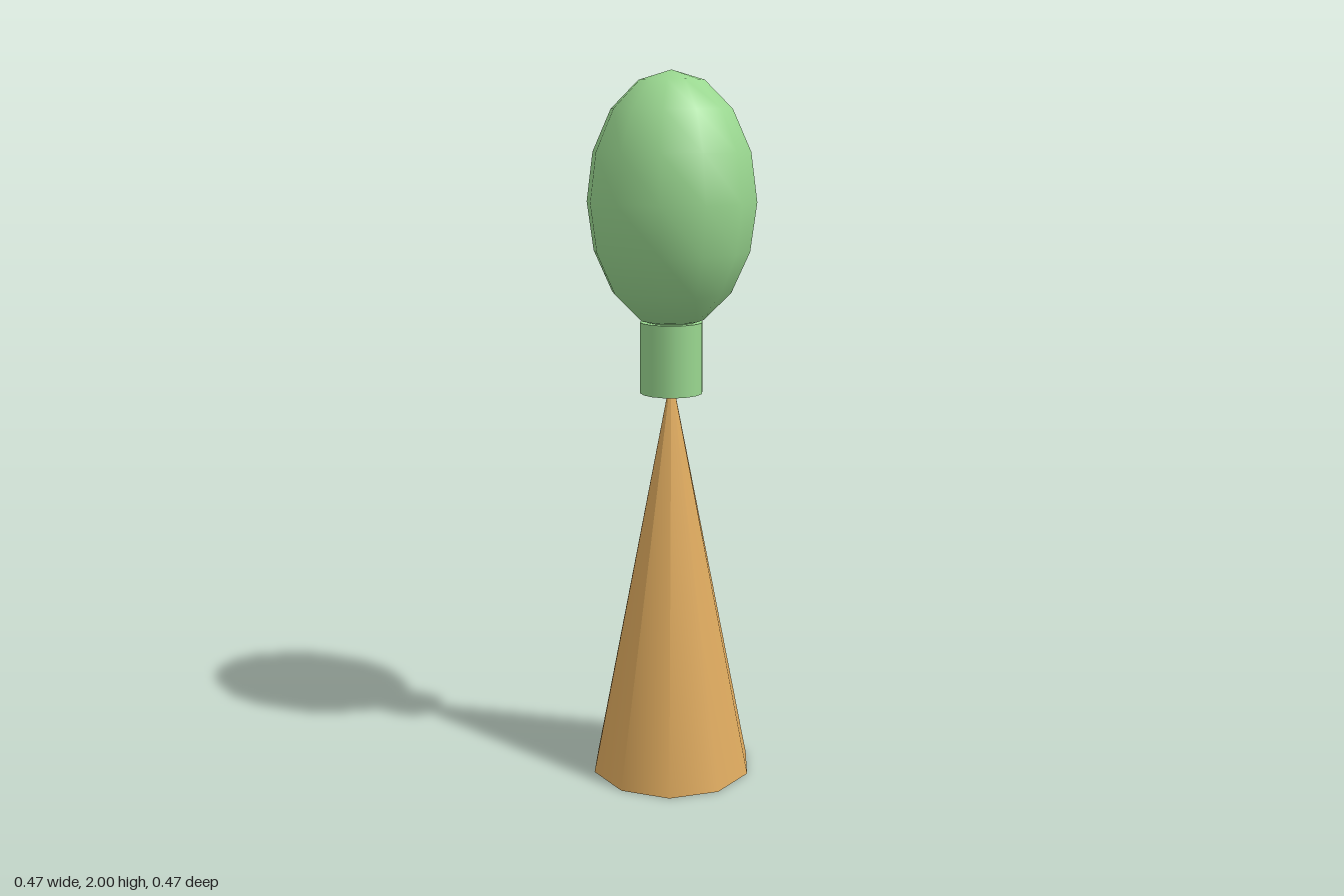
import * as THREE from 'three';

export function createModel() {
  const group = new THREE.Group();
  const green = new THREE.MeshStandardMaterial({ color: 0x9ad890 });
  green.name = 'leaf green';
  const tan = new THREE.MeshStandardMaterial({ color: 0xdeaa5e });
  tan.name = 'warm tan';

  const add = (name, geometry, material, y) => {
    const mesh = new THREE.Mesh(geometry, material);
    mesh.name = name;
    mesh.position.y = y;
    group.add(mesh);
  };

  // ten-sided cone base, corners on the x axis, tip hidden in the neck
  const coneHeight = 1.175;
  add('coneBase', new THREE.ConeGeometry(0.235, coneHeight, 10, 1, false, Math.PI / 2), tan, coneHeight / 2);

  // short neck between cone tip and head
  add('neck', new THREE.CylinderGeometry(0.088, 0.088, 0.2, 16), green, 1.22);

  // egg-shaped head, a stretched low-resolution sphere with smooth normals
  const head = new THREE.SphereGeometry(1, 12, 8);
  head.scale(0.235, 0.35, 0.235);
  add('head', head, green, 1.65);

  return group;
}
